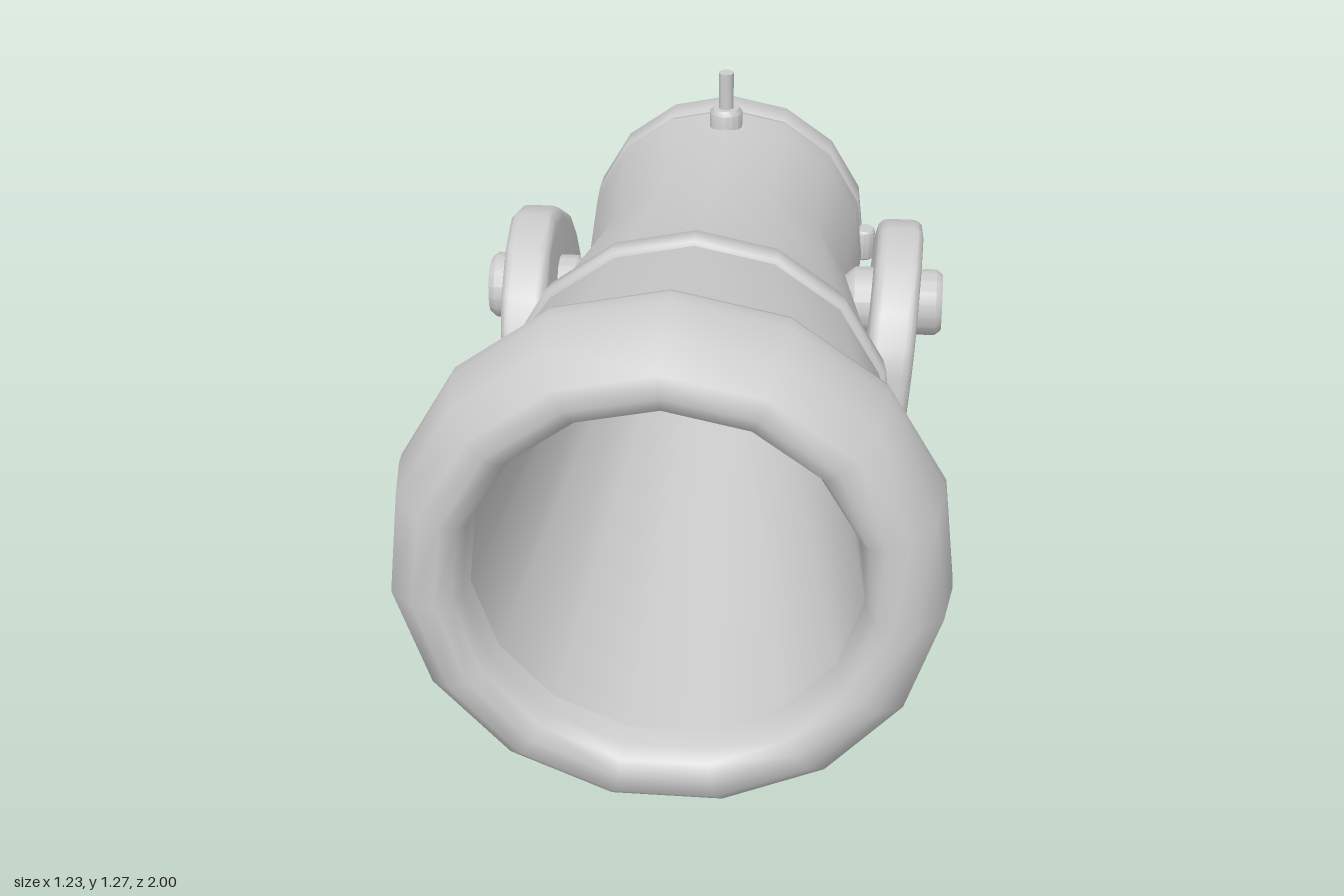
import * as THREE from 'three';
import { toCreasedNormals } from 'three/addons/utils/BufferGeometryUtils.js';
import { RoundedBoxGeometry } from 'three/addons/geometries/RoundedBoxGeometry.js';

const AXIS_Y = 0.658; // height of the barrel axis
const PIVOT_Z = -0.345; // barrel pivots and supports sit here
const SIDES = 15;

export function createModel() {
  const model = new THREE.Group();
  model.name = 'cannon';
  const material = new THREE.MeshStandardMaterial({ color: 0xcccccc });

  const add = (parent, name, geometry, crease = 0.75) => {
    const mesh = new THREE.Mesh(toCreasedNormals(geometry, crease), material);
    mesh.name = name;
    parent.add(mesh);
    return mesh;
  };

  // Turns [radius, position] pairs about the y axis
  const turn = (points, sides, start = 0) =>
    new THREE.LatheGeometry(points.map(([r, p]) => new THREE.Vector2(r, p)), sides, start);

  // Same, but lying along z with one corner at the top
  const turnZ = (name, points, crease) =>
    add(model, name, turn(points, SIDES, Math.PI).rotateX(Math.PI / 2).translate(0, AXIS_Y, 0), crease);

  // Barrel wall with its closed rear end
  turnZ('barrel', [[0, -0.738], [0.36, -0.738], [0.37, -0.73], [0.367, -0.66], [0.345, -0.34], [0.45, 0.22], [0.545, 0.76]], 0.6);

  // Thick rounded muzzle lip
  turnZ('muzzleRing', [
    [0.5, 0.745], [0.595, 0.745], [0.61, 0.755], [0.617, 0.775], [0.616, 0.81], [0.598, 0.93],
    [0.54, 0.992], [0.49, 1], [0.455, 0.985], [0.437, 0.95], [0.428, 0.9],
  ], 1.0);

  // Tapered bore and its flat end
  turnZ('bore', [[0.428, 0.9], [0.28, -0.34], [0, -0.34]], 0.6);

  // Reinforcing band
  turnZ('barrelBand', [[0.43, 0.172], [0.455, 0.172], [0.463, 0.18], [0.472, 0.232], [0.465, 0.243], [0.43, 0.245]], 1.0);

  // Domed rear cap, separated from the barrel by a narrow gap
  turnZ('rearCap', [[0, -1], [0.1, -0.998], [0.24, -0.96], [0.34, -0.885], [0.37, -0.83], [0.372, -0.76], [0.365, -0.75], [0, -0.75]]);

  // Hinge barrel of the rear cap
  add(model, 'capHinge', turn([[0, -0.043], [0.025, -0.043], [0.03, -0.037], [0.03, 0.037], [0.025, 0.043], [0, 0.043]], 12))
    .position.set(0.372, 0.645, -0.745);

  // Fuse collar and fuse on top
  add(model, 'fuseCollar', turn([[0.043, 0.99], [0.043, 1.055], [0.034, 1.067], [0, 1.067]], 14)).position.z = -0.66;
  add(model, 'fuse', turn([[0.02, 1.05], [0.02, 1.165], [0, 1.165]], 10)).position.z = -0.66;

  // Support plate outline: straight sides under a faceted arch
  const half = [[0.302, 0.03], [0.324, 0.63], [0.3, 0.7], [0.247, 0.775], [0.12, 0.855], [0, 0.887]];
  const mirrored = half.slice(0, -1).reverse().map(([u, v]) => [-u, v]);
  const outline = new THREE.Shape([...half, ...mirrored].map(([u, v]) => new THREE.Vector2(u, v)));

  for (const [name, turnY] of [['leftSupport', 0], ['rightSupport', Math.PI]]) {
    const support = new THREE.Group();
    support.name = name;
    support.position.z = PIVOT_Z;
    support.rotation.y = turnY;
    model.add(support);

    // Plate leaning slightly outward
    const plate = new THREE.ExtrudeGeometry(outline, {
      depth: 0.065, bevelThickness: 0.026, bevelSize: 0.026, bevelOffset: -0.026, bevelSegments: 3,
    }).rotateY(Math.PI / 2).translate(0.381, 0, 0);
    const pos = plate.attributes.position;
    for (let i = 0; i < pos.count; i++) pos.setX(i, pos.getX(i) + 0.07 * (pos.getY(i) - 0.05));
    add(support, 'supportPlate', plate, 0.6);

    // Foot under the plate
    add(support, 'supportFoot', new RoundedBoxGeometry(0.146, 0.046, 0.666, 2, 0.012).translate(0.408, 0.023, 0), 0.9);

    // Pivot pin running from the barrel out through the plate
    const pin = turn([[0, 0.3], [0.06, 0.33], [0.085, 0.36], [0.085, 0.568], [0.072, 0.584], [0, 0.584]], 16)
      .rotateZ(-Math.PI / 2).translate(0, 0.68, 0);
    add(support, 'pivotPin', pin);
  }

  return model;
}
